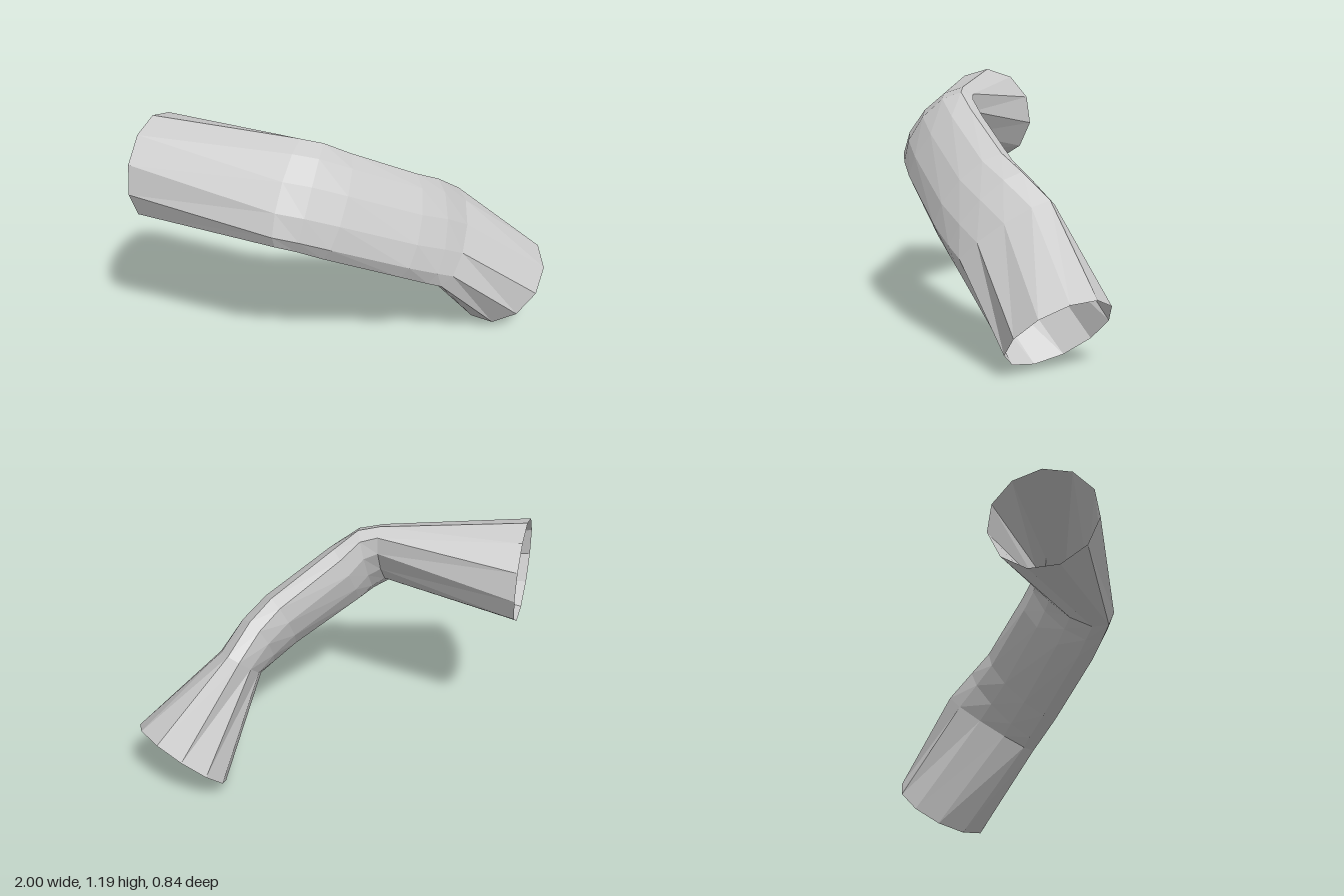
import * as THREE from 'three';

const SIDES = 11;

// Cross-sections along the pipe: centre, facing direction, half height,
// half width, sideways lean of the squashed oval, twist in steps
const SECTIONS = [
  { c: [-0.83, 0.937, -0.243], n: [0.73, 0, 0.68], h: 0.25, w: 0.25, lean: 0, twist: 0 },
  { c: [-0.335, 0.935, 0.215], n: [0.75, -0.02, 0.65], h: 0.203, w: 0.19, lean: -0.68, twist: 0 },
  { c: [-0.245, 0.91, 0.245], n: [0.87, -0.2, 0.44], h: 0.215, w: 0.178, lean: -0.64, twist: 0 },
  { c: [-0.13, 0.85, 0.252], n: [0.89, -0.42, 0.12], h: 0.22, w: 0.17, lean: -0.6, twist: 0 },
  { c: [0.22, 0.682, 0.25], n: [0.9, -0.43, -0.04], h: 0.22, w: 0.168, lean: -0.6, twist: 0 },
  { c: [0.355, 0.612, 0.226], n: [0.88, -0.47, -0.16], h: 0.226, w: 0.168, lean: -0.64, twist: 0 },
  { c: [0.46, 0.543, 0.192], n: [0.67, -0.72, -0.2], h: 0.23, w: 0.17, lean: -0.7, twist: 0 },
  { c: [0.82, 0.178, 0.097], n: [0.7, -0.7, -0.14], h: 0.25, w: 0.25, lean: 0, twist: -0.5 },
];

// Points of one oval cross-section, starting at its top
function ringPoints({ c, n, h, w, lean, twist }) {
  const centre = new THREE.Vector3(...c);
  const axis = new THREE.Vector3(...n).normalize();
  const up = new THREE.Vector3(0, 1, 0).projectOnPlane(axis).normalize();
  const side = axis.clone().cross(up);
  const spread = Math.sqrt(1 - lean * lean);
  const points = [];
  for (let j = 0; j < SIDES; j++) {
    const a = ((j + twist) / SIDES) * Math.PI * 2;
    points.push(centre.clone()
      .addScaledVector(up, Math.cos(a) * h)
      .addScaledVector(side, (Math.sin(a) * spread + Math.cos(a) * lean) * w));
  }
  return points;
}

// Skin joining neighbouring cross-sections, open at both ends
function loft(sections) {
  const positions = sections.flatMap(ringPoints).flatMap((p) => p.toArray());
  const index = [];
  for (let i = 0; i < sections.length - 1; i++) {
    for (let j = 0; j < SIDES; j++) {
      const a = i * SIDES + j, b = i * SIDES + ((j + 1) % SIDES);
      const c = a + SIDES, d = b + SIDES;
      index.push(a, b, d, a, d, c);
    }
  }
  const geometry = new THREE.BufferGeometry();
  geometry.setAttribute('position', new THREE.Float32BufferAttribute(positions, 3));
  geometry.setIndex(index);
  const flat = geometry.toNonIndexed();
  flat.computeVertexNormals();
  return flat;
}

export function createModel() {
  const group = new THREE.Group();
  group.name = 'bentPipe';
  const material = new THREE.MeshStandardMaterial({
    color: 0xcccccc, flatShading: true, side: THREE.DoubleSide,
  });
  const pipe = new THREE.Mesh(loft(SECTIONS), material);
  pipe.name = 'pipeWall';
  group.add(pipe);
  return group;
}
